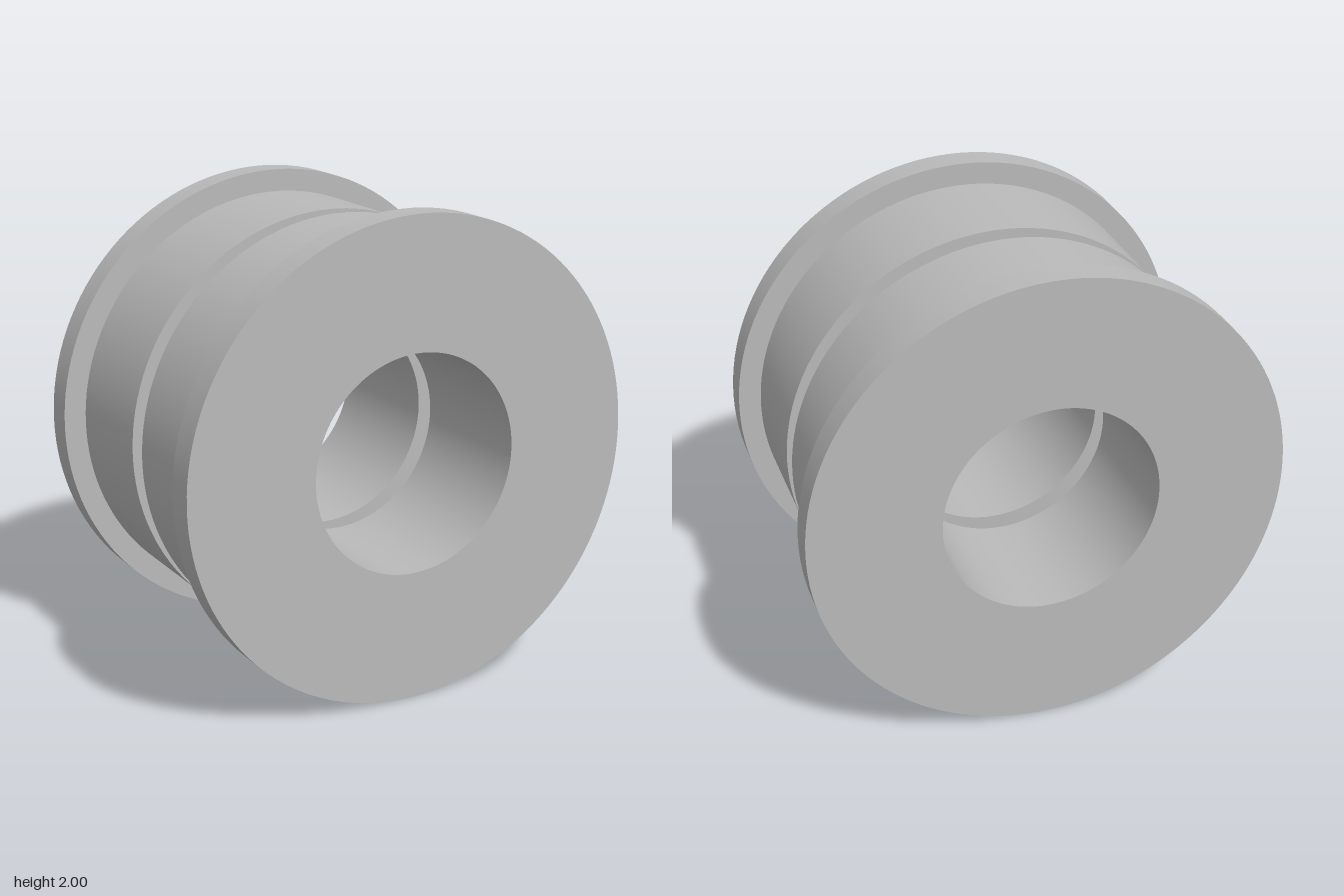
import * as THREE from 'three';
import { toCreasedNormals } from 'three/addons/utils/BufferGeometryUtils.js';

const BORE = 0.455, BODY = 0.905, FLANGE = 1;      // radii
const INNER = 0.046, SHOULDER = 0.53, OUTER = 0.652; // distances from the middle plane

export function createModel() {
  const model = new THREE.Group();
  model.name = 'flangedBushingPair';
  const steel = new THREE.MeshStandardMaterial({ color: 0xbababa });
  steel.name = 'grey steel';

  // Closed cross-section of one bushing: sleeve, shoulder, flange and bore
  const profile = [
    [BORE, INNER], [BODY, INNER], [BODY, SHOULDER], [FLANGE, SHOULDER],
    [FLANGE, OUTER], [BORE, OUTER], [BORE, INNER],
  ].map(([r, d]) => new THREE.Vector2(r, d));
  const lathe = new THREE.LatheGeometry(profile, 128);
  lathe.rotateX(Math.PI / 2); // lay the axis along z
  const geometry = toCreasedNormals(lathe, Math.PI / 6);

  // Two identical bushings, back to back with a narrow gap
  for (const [name, turn] of [['frontBushing', 0], ['backBushing', Math.PI]]) {
    const bushing = new THREE.Mesh(geometry, steel);
    bushing.name = name;
    bushing.position.y = FLANGE;
    bushing.rotation.y = turn;
    model.add(bushing);
  }
  return model;
}
